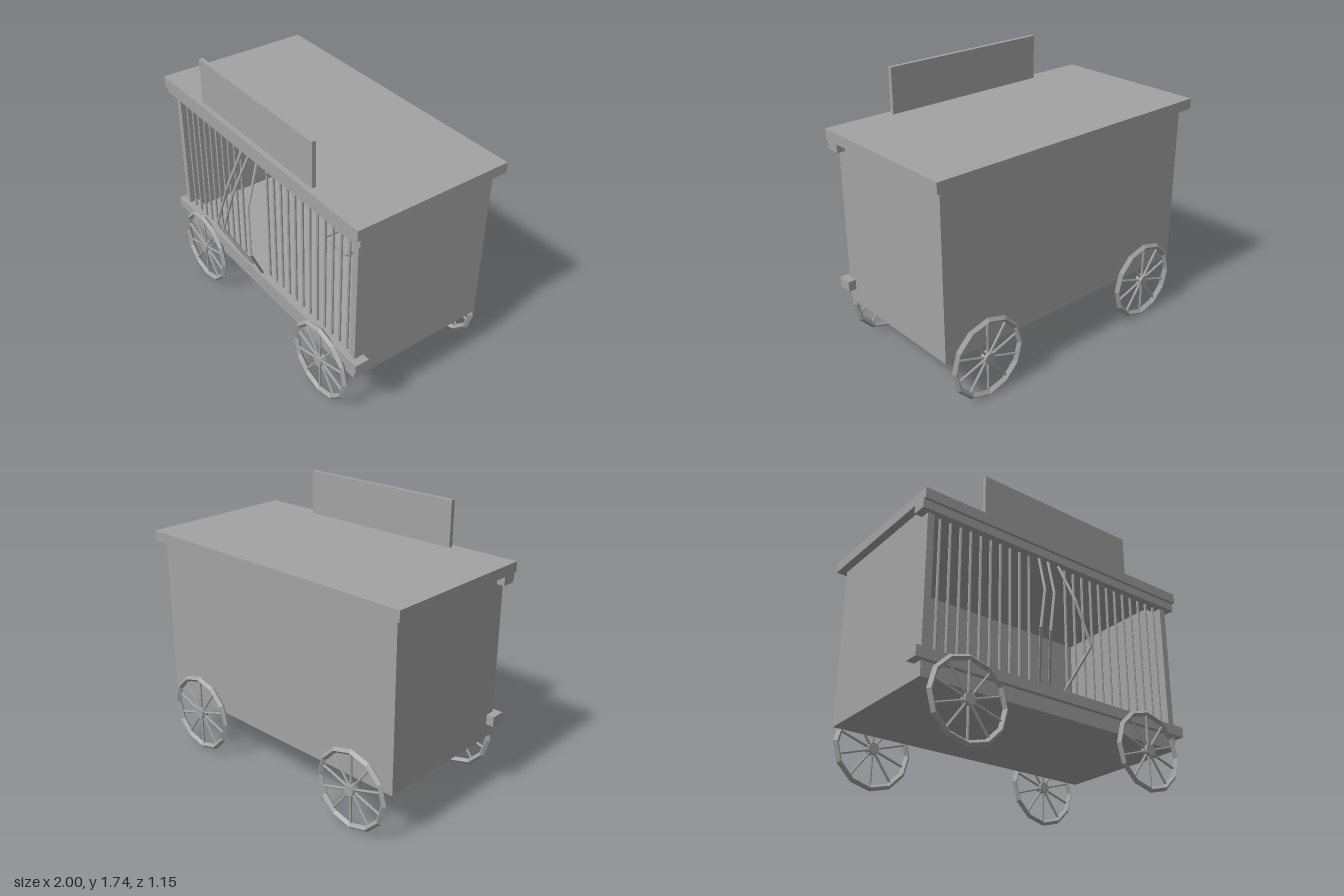
import * as THREE from 'three';

export function createModel() {
  const wagon = new THREE.Group();
  wagon.name = 'cageWagon';
  const grey = new THREE.MeshStandardMaterial({ color: 0xa3a3a3, flatShading: true });
  grey.name = 'plainGrey';

  const add = (name, geometry, parent = wagon) => {
    const mesh = new THREE.Mesh(geometry, grey);
    mesh.name = name;
    parent.add(mesh);
    return mesh;
  };

  // Box given by its lower and upper limits on each axis
  const box = (name, x0, x1, y0, y1, z0, z1, parent) => {
    const mesh = add(name, new THREE.BoxGeometry(x1 - x0, y1 - y0, z1 - z0), parent);
    mesh.position.set((x0 + x1) / 2, (y0 + y1) / 2, (z0 + z1) / 2);
    return mesh;
  };

  // Thin rod between two points
  const rod = (name, a, b, radius, parent, sides = 6) => {
    const from = new THREE.Vector3(...a), to = new THREE.Vector3(...b);
    const dir = to.clone().sub(from);
    const mesh = add(name, new THREE.CylinderGeometry(radius, radius, dir.length(), sides), parent);
    mesh.position.copy(from).add(to).multiplyScalar(0.5);
    mesh.quaternion.setFromUnitVectors(new THREE.Vector3(0, 1, 0), dir.normalize());
    return mesh;
  };

  // Body: floor, back and end walls, open at the front
  const wall = 0.045;
  box('floor', -0.95, 0.95, 0.34, 0.435, -0.53, 0.42);
  box('backWall', -0.95, 0.95, 0.435, 1.39, -0.53, -0.53 + wall);
  box('rightWall', -0.95, -0.95 + wall, 0.435, 1.39, -0.53 + wall, 0.42);
  box('leftWall', 0.95 - wall, 0.95, 0.435, 1.39, -0.53 + wall, 0.42);

  // Roof, sign board and front rails
  box('roof', -1, 1, 1.39, 1.457, -0.577, 0.47);
  box('signBoard', -0.57, 0.57, 1.457, 1.745, 0.41, 0.437);
  box('upperRail', -1, 1, 1.337, 1.39, 0.357, 0.45);
  box('lowerRail', -1, 1, 0.43, 0.495, 0.357, 0.45);

  // Straight cage bars, leaving a gap for the three bent ones
  const bars = new THREE.Group();
  bars.name = 'cageBars';
  wagon.add(bars);
  const pitch = 0.0713;
  for (let i = -12; i <= 12; i++) {
    if (i >= -2 && i <= 0) continue;
    rod('bar', [i * pitch, 0.44, 0.4], [i * pitch, 1.38, 0.4], 0.009, bars);
  }

  // Bent bars bulging out of the cage
  for (const [slot, side] of [[-2, -1], [-1, -1], [0, 1]]) {
    const x = slot * pitch;
    const path = [
      [x, 1.37, 0.405], [x + side * 0.05, 1.06, 0.523],
      [x + side * 0.12, 0.77, 0.565], [x, 0.44, 0.4],
    ];
    for (let i = 0; i < 3; i++) rod('bentBar', path[i], path[i + 1], 0.009, bars);
  }

  // Tray and loose sticks on the cage floor
  const tray = new THREE.Group();
  tray.name = 'tray';
  wagon.add(tray);
  box('trayBase', -0.085, 0.155, 0.435, 0.44, -0.335, -0.135, tray);
  for (const z of [-0.335, -0.143]) box('trayRim', -0.085, 0.155, 0.435, 0.452, z, z + 0.008, tray);
  for (const x of [-0.085, 0.147]) box('trayRim', x, x + 0.008, 0.435, 0.452, -0.327, -0.143, tray);
  rod('looseStick', [-0.49, 0.443, -0.33], [-0.3, 0.443, -0.43], 0.009);
  rod('looseStick', [0.22, 0.443, -0.28], [0.46, 0.443, -0.185], 0.009);

  // Wheels: diamond-section rim, ten spokes and a hub
  const makeWheel = (x, z) => {
    const wheel = new THREE.Group();
    wheel.name = 'wheel';
    wheel.position.set(x, 0.27, z);
    add('rim', new THREE.TorusGeometry(0.243, 0.019, 4, 12), wheel);
    for (let i = 0; i < 10; i++) {
      const a = Math.PI / 2 + (i * Math.PI) / 5;
      rod('spoke', [0, 0, 0], [Math.cos(a) * 0.235, Math.sin(a) * 0.235, 0], 0.008, wheel);
    }
    add('hub', new THREE.CylinderGeometry(0.036, 0.036, 0.046, 12), wheel).rotation.x = Math.PI / 2;
    wagon.add(wheel);
  };
  for (const x of [-0.667, 0.667]) for (const z of [0.451, -0.553]) makeWheel(x, z);

  return wagon;
}
